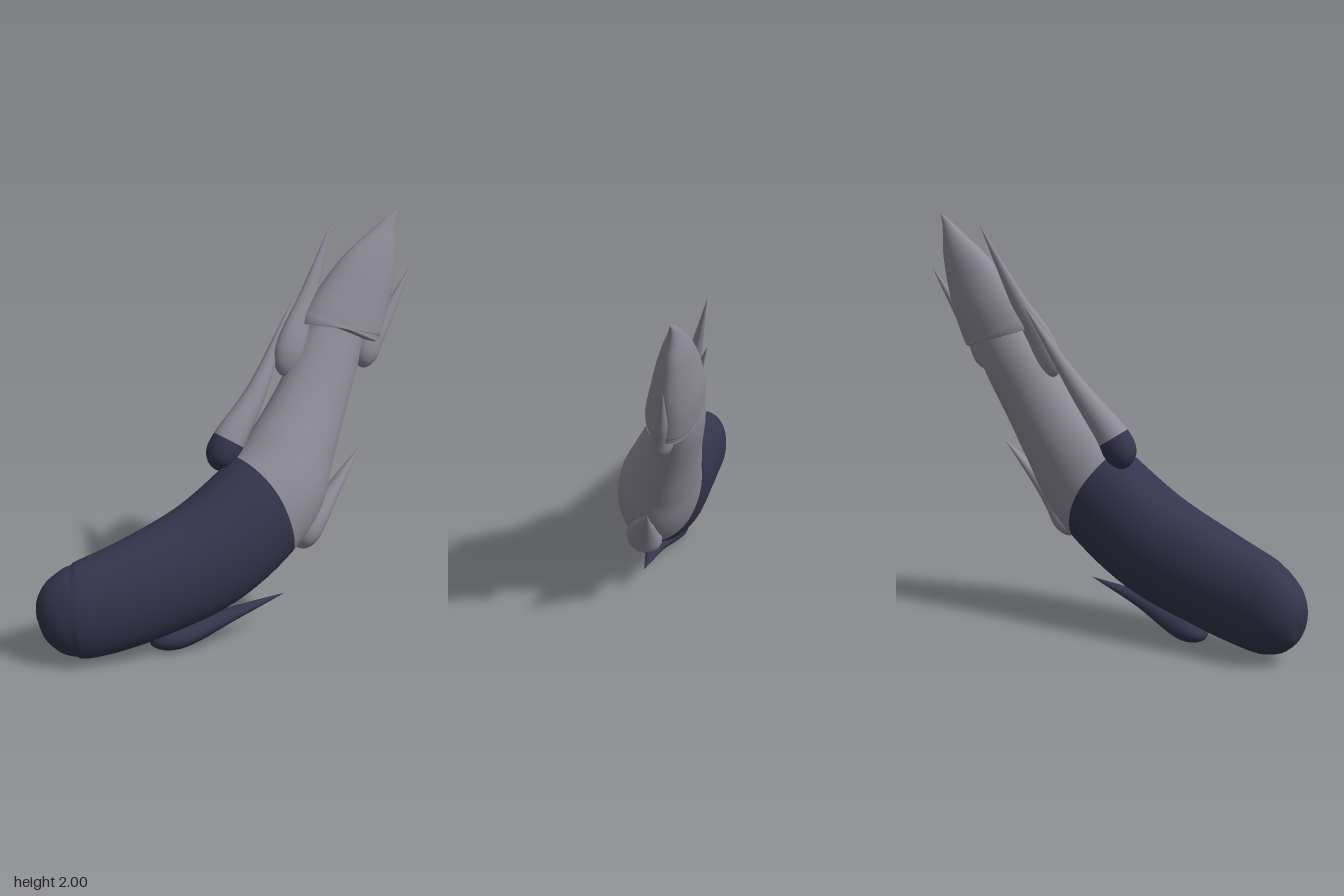
import * as THREE from 'three';

const V = (p) => new THREE.Vector3(p[0], p[1], p[2]);
const FRONT = new THREE.Vector3(0.2, 0.13, 0.97); // direction the flat side of each part faces

// Elliptical tube along a curve; size(t) gives the half width and half depth.
// skew slides the upper side of each ring forwards and the lower side backwards.
function sweep(name, curve, size, mats, { steps = 48, sides = 32, warp = 1, split = 1, skew = 0 } = {}) {
  const pos = [], idx = [];
  for (let i = 0; i <= steps; i++) {
    const t0 = Math.pow(i / steps, warp);
    for (let j = 0; j < sides; j++) {
      const ang = (j / sides) * Math.PI * 2;
      const t = THREE.MathUtils.clamp(t0 + skew * Math.cos(ang) * Math.sin(Math.PI * t0) ** 2, 0, 1);
      const T = curve.getTangent(t);
      const N = FRONT.clone().cross(T).normalize();
      const B = T.clone().cross(N);
      const [a, b] = size(t);
      const p = curve.getPoint(t).addScaledVector(N, a * Math.cos(ang)).addScaledVector(B, b * Math.sin(ang));
      pos.push(p.x, p.y, p.z);
    }
  }
  for (let i = 0; i < steps; i++) {
    for (let j = 0; j < sides; j++) {
      const k = (j + 1) % sides, r = i * sides, q = r + sides;
      idx.push(r + j, r + k, q + j, r + k, q + k, q + j);
    }
  }
  const geo = new THREE.BufferGeometry();
  geo.setAttribute('position', new THREE.Float32BufferAttribute(pos, 3));
  geo.setIndex(idx);
  geo.computeVertexNormals();
  // lower part takes the first colour, the rest the second
  const cut = Math.round(Math.pow(split, 1 / warp) * steps) * sides * 6;
  geo.addGroup(0, cut, 0);
  if (cut < idx.length) geo.addGroup(cut, idx.length - cut, 1);
  const mesh = new THREE.Mesh(geo, mats);
  mesh.name = name;
  return mesh;
}

// Sweep through rows of [x, y, z, halfWidth, halfDepth].
function sweepRows(name, rows, mats, opts) {
  const curve = new THREE.CatmullRomCurve3(rows.map(V), false, 'catmullrom', 0.5);
  const sizes = new THREE.CatmullRomCurve3(rows.map((r) => new THREE.Vector3(r[3], r[4], 0)), false, 'catmullrom', 0.5);
  const size = (t) => {
    const s = sizes.getPoint(t);
    return [Math.max(s.x, 0), Math.max(s.y, 0)];
  };
  return sweep(name, curve, size, mats, opts);
}

// Scale leaf: blunt rounded base, long pointed tip.
function leaf(name, points, a, b, mats, split = 1) {
  const curve = new THREE.CatmullRomCurve3(points.map(V), false, 'catmullrom', 0.5);
  const size = (t) => {
    const w = t < 0.25 ? Math.sqrt(1 - ((0.25 - t) / 0.25) ** 2) : 1 - ((t - 0.25) / 0.75) ** 1.4;
    return [a * w, b * w];
  };
  return sweep(name, curve, size, mats, { sides: 20, warp: 1.5, split });
}

export function createModel() {
  const grey = new THREE.MeshStandardMaterial({ name: 'paleGrey', color: 0x8f8c98 });
  const navy = new THREE.MeshStandardMaterial({ name: 'darkNavy', color: 0x35354e });
  const group = new THREE.Group();
  group.name = 'stalk';

  // curved stem: rounded dark foot, pale upper part
  const stem = [
    [-0.94, 0.235, 0.235, 0, 0],
    [-0.92, 0.238, 0.235, 0.095, 0.064],
    [-0.864, 0.244, 0.235, 0.17, 0.117],
    [-0.78, 0.252, 0.234, 0.217, 0.15],
    [-0.68, 0.268, 0.23, 0.24, 0.166],
    [-0.43, 0.34, 0.187, 0.258, 0.188],
    [-0.1, 0.475, 0.105, 0.276, 0.204],
    [0.18, 0.7, 0.008, 0.266, 0.195],
    [0.31, 0.92, -0.082, 0.218, 0.165],
    [0.41, 1.12, -0.162, 0.183, 0.135],
    [0.51, 1.34, -0.245, 0.16, 0.112],
    [0.6, 1.52, -0.295, 0.13, 0.08],
  ];
  group.add(sweepRows('stem', stem, [navy, grey], { steps: 88, sides: 48, split: 7 / 11, skew: 0.035 }));

  // pointed bud with a flared rim and hooked tip
  const bud = [
    [0.565, 1.433, -0.253, 0, 0],
    [0.569, 1.443, -0.256, 0.195, 0.108],
    [0.578, 1.465, -0.262, 0.207, 0.117],
    [0.635, 1.58, -0.293, 0.185, 0.105],
    [0.7, 1.71, -0.32, 0.15, 0.082],
    [0.758, 1.825, -0.345, 0.098, 0.057],
    [0.797, 1.91, -0.36, 0.05, 0.032],
    [0.825, 1.96, -0.367, 0.023, 0.016],
    [0.86, 2.0, -0.372, 0, 0],
  ];
  group.add(sweepRows('bud', bud, [grey], { steps: 64, sides: 40 }));

  // scale leaves along the stem
  group.add(
    leaf('lowerRightLeaf', [[-0.065, 0.84, -0.02], [0.0, 0.98, -0.04], [0.15, 1.21, -0.13], [0.345, 1.61, -0.3]], 0.085, 0.075, [navy, grey], 1 / 3),
    leaf('upperRightLeaf', [[0.275, 1.25, -0.165], [0.325, 1.42, -0.2], [0.41, 1.62, -0.275], [0.54, 1.96, -0.385]], 0.075, 0.05, [grey]),
    leaf('upperLeftLeaf', [[0.67, 1.255, -0.25], [0.715, 1.37, -0.26], [0.8, 1.5, -0.3], [0.935, 1.74, -0.375]], 0.06, 0.05, [grey]),
    leaf('lowerLeftLeaf', [[0.325, 0.43, 0.0], [0.4, 0.55, -0.01], [0.5, 0.68, -0.06], [0.66, 0.885, -0.16]], 0.068, 0.085, [grey]),
    leaf('footLeaf', [[-0.41, 0.045, 0.17], [-0.23, 0.08, 0.165], [-0.02, 0.145, 0.13], [0.26, 0.213, 0.06]], 0.063, 0.085, [navy]),
  );
  return group;
}
